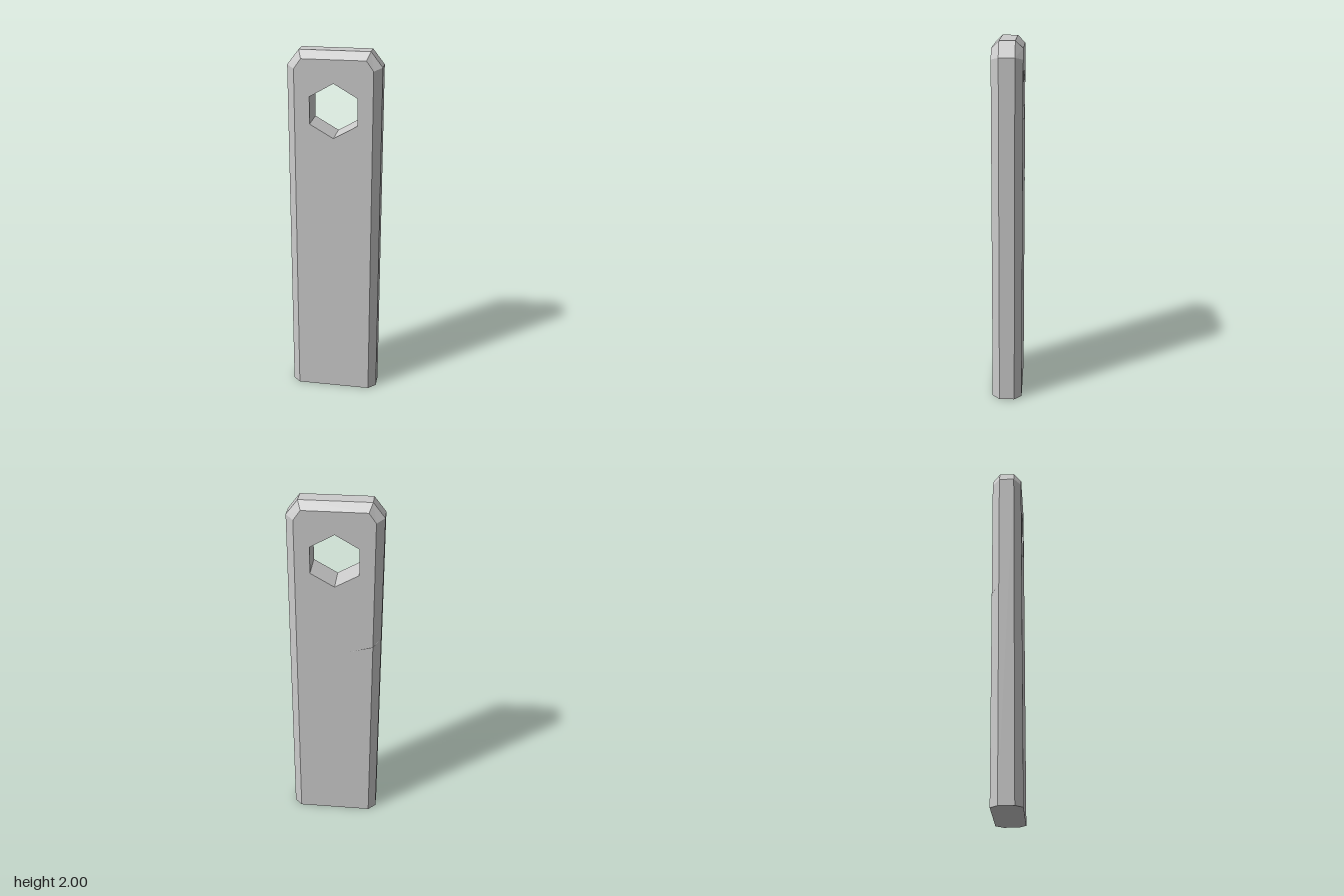
import * as THREE from 'three';

const HALF = 0.083;   // half thickness at the flat faces
const RIM = 0.042;    // half thickness of the outer rim

// Chamfered bar with a hexagonal hole
function barGeometry() {
  const outer = [[-0.25, 0], [0.25, 0], [0.25, 1.92], [0.188, 2], [-0.188, 2], [-0.25, 1.92]];
  const inner = [[-0.208, 0], [0.208, 0], [0.208, 1.907], [0.17, 1.96], [-0.17, 1.96], [-0.208, 1.907]];
  const shape = new THREE.Shape(outer.map(([x, y]) => new THREE.Vector2(x, y)));
  const hole = [];
  for (let i = 0; i < 6; i++) {
    const a = Math.PI / 2 - i * Math.PI / 3;
    hole.push(new THREE.Vector2(0.147 * Math.cos(a), 1.69 + 0.147 * Math.sin(a)));
  }
  shape.holes.push(new THREE.Path(hole));

  const geo = new THREE.ExtrudeGeometry(shape, { depth: 2 * HALF, steps: 3, bevelEnabled: false });
  geo.translate(0, 0, -HALF);

  // Widen the middle band and pull the face outlines inward to form the chamfers
  const p = geo.attributes.position;
  for (let i = 0; i < p.count; i++) {
    const x = p.getX(i), y = p.getY(i), z = p.getZ(i);
    if (Math.abs(z) < HALF * 0.7) {
      p.setZ(i, Math.sign(z) * RIM);
    } else {
      const k = outer.findIndex(([ox, oy]) => Math.hypot(ox - x, oy - y) < 1e-4);
      if (k >= 0) p.setXY(i, inner[k][0], inner[k][1]);
    }
  }
  geo.computeVertexNormals();
  return geo;
}

// Hairline ridge across the back face and its chamfer
function scratchGeometry() {
  const stations = [[-0.085, 1.15, -HALF, 0], [-0.208, 1.187, -HALF, 0.004], [-0.25, 1.22, -RIM, 0]];
  const pos = [], index = [];
  for (const [x, y, z, w] of stations) {
    pos.push(x, y + w, z, x, y, z - w * 0.4, x, y - w, z);
  }
  for (let s = 0; s < 2; s++) {
    for (let j = 0; j < 2; j++) {
      const a = s * 3 + j, b = a + 3;
      index.push(a, a + 1, b, b, a + 1, b + 1);
    }
  }
  const geo = new THREE.BufferGeometry();
  geo.setAttribute('position', new THREE.Float32BufferAttribute(pos, 3));
  geo.setIndex(index);
  geo.computeVertexNormals();
  return geo;
}

export function createModel() {
  const group = new THREE.Group();
  group.name = 'tagBar';
  const add = (name, geo, options = {}) => {
    const mesh = new THREE.Mesh(geo, new THREE.MeshStandardMaterial({ color: 0xcccccc, flatShading: true, ...options }));
    mesh.name = name;
    group.add(mesh);
  };
  add('bar', barGeometry());
  add('backScratch', scratchGeometry(), { side: THREE.DoubleSide });
  return group;
}
